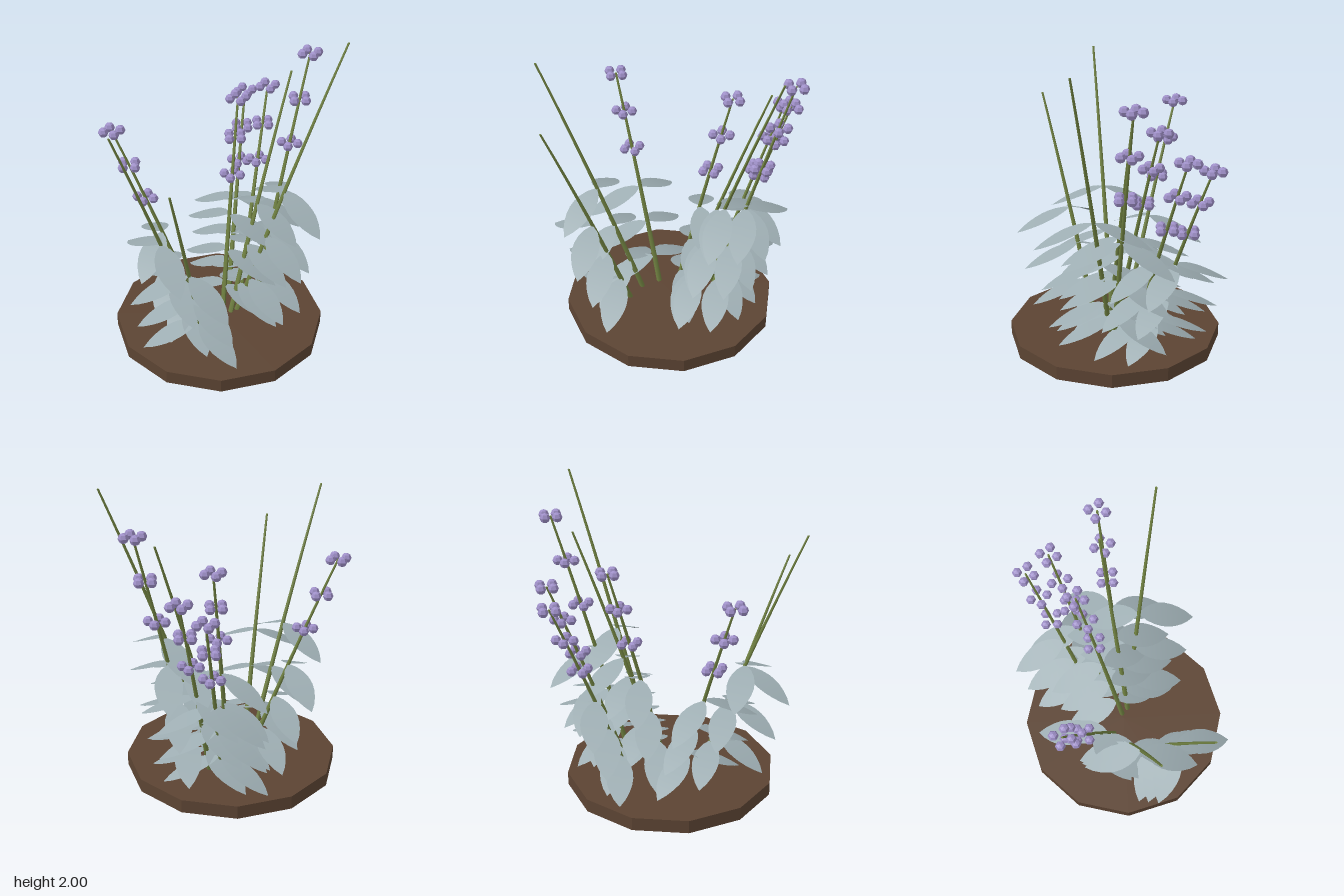
import * as THREE from 'three';

const soil = new THREE.MeshStandardMaterial({ color: 0x5c4433, flatShading: true });
soil.name = 'soil brown';
const green = new THREE.MeshStandardMaterial({ color: 0x6f8040 });
green.name = 'stem green';
const silver = new THREE.MeshStandardMaterial({ color: 0x9dadb2, side: THREE.DoubleSide });
silver.name = 'leaf silver';
const lilac = new THREE.MeshStandardMaterial({ color: 0x9f90c8, flatShading: true });
lilac.name = 'flower lilac';

const GROUND = 0.09;

// base x, z; tip x, y, z; headings of the two leaf rows in degrees; flowering or bare
const STEMS = [
  [-0.20, 0.025, -0.83, 1.77, 0.165, 100, -97, false],
  [-0.23, 0.16, -0.634, 1.5, 0.504, 80, 200, false],
  [0.12, 0.03, 0.78, 2.0, 0.225, 85, -85, false],
  [0.07, 0.03, 0.605, 1.71, -0.12, 78, -70, false],
  [-0.115, -0.075, -0.55, 1.475, -0.39, -78, 140, true],
  [0.03, -0.01, 0.305, 1.53, -0.28, -108, 60, true],
  [0.29, 0.0, 0.75, 1.8, -0.125, 78, -60, true],
  [0.21, -0.22, 0.555, 1.38, -0.59, -112, 27, true],
  [0.25, -0.13, 0.64, 1.46, -0.44, -100, 50, true],
];

// Point on a stem; it bends gently outwards towards the tip
function stemPoint([bx, bz, tx, ty, tz], t) {
  const s = t + 0.08 * t * (t - 1);
  return new THREE.Vector3(
    bx + (tx - bx) * s,
    GROUND + (ty - GROUND) * t,
    bz + (tz - bz) * s
  );
}

// Tapered cylinder sheared along the stem line
function stemGeometry(stem) {
  const g = new THREE.CylinderGeometry(0.007, 0.018, 1, 6, 8);
  const p = g.attributes.position;
  for (let i = 0; i < p.count; i++) {
    const c = stemPoint(stem, p.getY(i) + 0.5);
    p.setXYZ(i, c.x + p.getX(i), c.y, c.z + p.getZ(i));
  }
  g.computeVertexNormals();
  return g;
}

// Pointed oval blade along +x, drooping towards its tip
function leafGeometry() {
  const g = new THREE.PlaneGeometry(1, 1, 8, 2);
  g.rotateX(-Math.PI / 2);
  const p = g.attributes.position;
  for (let i = 0; i < p.count; i++) {
    const t = p.getX(i) + 0.5;
    const width = 0.175 * Math.pow(Math.sin(Math.PI * Math.pow(t, 0.92)), 0.8) || 0;
    p.setXYZ(i, 0.37 * t, -0.12 * t - 0.05 * t * t, p.getZ(i) * width);
  }
  g.computeVertexNormals();
  return g;
}

export function createModel() {
  const model = new THREE.Group();
  model.name = 'potted flowering stems';

  const add = (parent, name, geometry, material) => {
    const mesh = new THREE.Mesh(geometry, material);
    mesh.name = name;
    parent.add(mesh);
    return mesh;
  };

  // Twelve-sided soil disc
  const disc = add(model, 'soilDisc', new THREE.CylinderGeometry(0.695, 0.695, GROUND, 12), soil);
  disc.position.set(-0.005, GROUND / 2, 0);

  const leaf = leafGeometry();
  const floret = new THREE.SphereGeometry(0.033, 6, 4);
  floret.rotateY(Math.PI / 6);

  for (const stem of STEMS) {
    const [, , , , , headingA, headingB, flowering] = stem;
    const plant = new THREE.Group();
    plant.name = flowering ? 'floweringStem' : 'bareStem';
    model.add(plant);
    add(plant, 'stem', stemGeometry(stem), green);

    // Three levels of paired leaves
    for (const t of [0.13, 0.3, 0.47]) {
      for (const heading of [headingA, headingB]) {
        const blade = add(plant, 'leaf', leaf, silver);
        blade.position.copy(stemPoint(stem, t));
        blade.rotation.y = -THREE.MathUtils.degToRad(heading);
      }
    }

    // Three whorls of four florets
    if (flowering) {
      [0.656, 0.828, 1].forEach((t, k) => {
        const centre = stemPoint(stem, t);
        for (let i = 0; i < 4; i++) {
          const a = THREE.MathUtils.degToRad(-45 - 61 * k + 90 * i);
          const bud = add(plant, 'floret', floret, lilac);
          bud.position.set(centre.x + 0.054 * Math.cos(a), centre.y, centre.z + 0.054 * Math.sin(a));
        }
      });
    }
  }
  return model;
}
